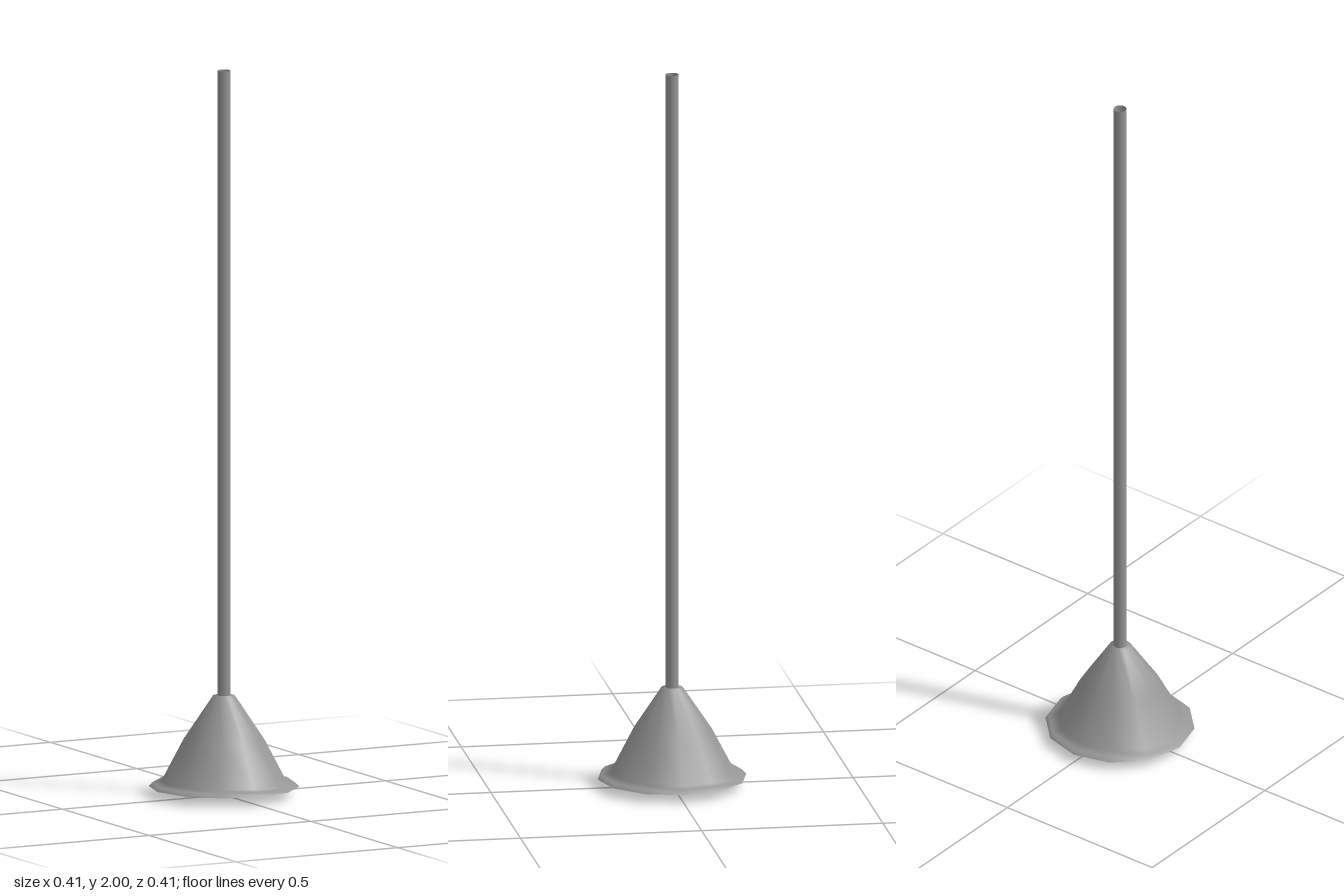
import * as THREE from 'three';

const paint = (color) => new THREE.MeshStandardMaterial({ color, side: THREE.DoubleSide });
const grey = paint(0x969696);
const dark = paint(0x606060);

export function createModel() {
  const model = new THREE.Group();

  const add = (name, geometry, material, y = 0) => {
    const mesh = new THREE.Mesh(geometry, material);
    mesh.name = name;
    mesh.position.y = y;
    model.add(mesh);
  };
  const cylinder = (name, radius, bottom, top, open = false) =>
    add(name, new THREE.CylinderGeometry(radius, radius, top - bottom, 12, 1, open), grey, (bottom + top) / 2);

  // Long suspension rod, an open tube
  cylinder('rod', 0.018, 0.2, 2, true);

  // Thin twelve-sided bell shade with a flared, down-turned rim
  const outside = [
    [0.205, 0.024], [0.195, 0.035], [0.17, 0.04], [0.11, 0.155], [0.03, 0.275], [0, 0.277],
  ].map(([r, y]) => new THREE.Vector2(r, y));
  add('shade', new THREE.LatheGeometry(outside, 12), grey);

  // Darker inside of the shade, just under it, facing inwards and meeting it at the rim
  const inside = outside.map(({ x, y }, i) => (i ? new THREE.Vector2(Math.max(x - 0.003, 0), y - 0.003) : outside[0]));
  add('shadeLining', new THREE.LatheGeometry(inside.reverse(), 12), dark);

  // Lamp holder and bulb inside the shade
  cylinder('socket', 0.033, 0.105, 0.21);
  cylinder('bulbNeck', 0.022, 0.075, 0.11);
  add('bulb', new THREE.SphereGeometry(0.046, 16, 12), grey, 0.046);

  return model;
}
